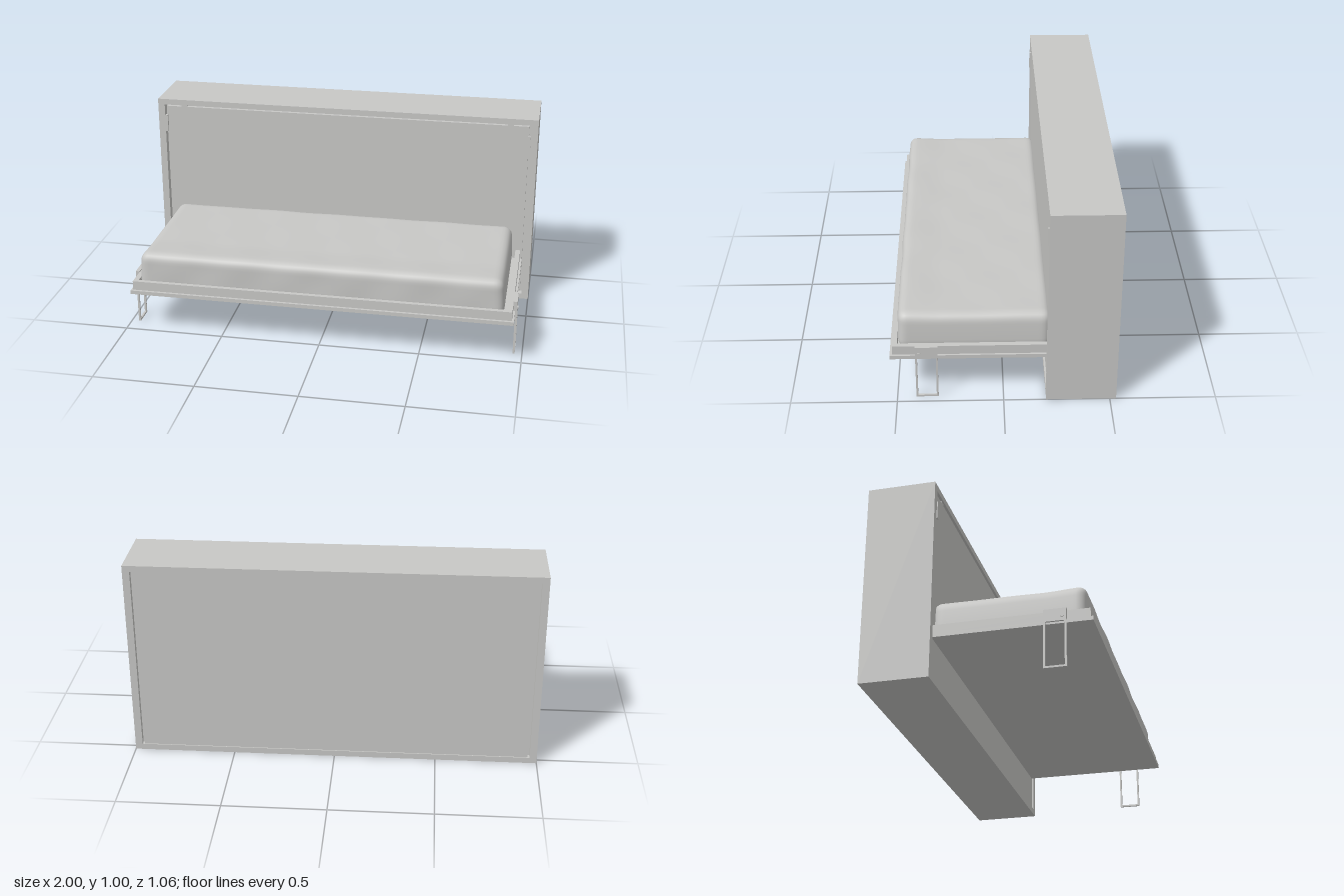
import * as THREE from 'three';
import { mergeVertices } from 'three/addons/utils/BufferGeometryUtils.js';

export function createModel() {
  const model = new THREE.Group();
  model.name = 'foldDownWallBed';
  const grey = new THREE.MeshStandardMaterial({ name: 'lightGrey', color: 0xc8c8c6 });

  const add = (name, geometry, parent = model) => {
    const mesh = new THREE.Mesh(geometry, grey);
    mesh.name = name;
    parent.add(mesh);
    return mesh;
  };
  // Box given by its lower and upper limits on each axis
  const box = (name, x0, x1, y0, y1, z0, z1, parent = model) => {
    const mesh = add(name, new THREE.BoxGeometry(x1 - x0, y1 - y0, z1 - z0), parent);
    mesh.position.set((x0 + x1) / 2, (y0 + y1) / 2, (z0 + z1) / 2);
    return mesh;
  };
  const group = (name) => {
    const g = new THREE.Group();
    g.name = name;
    model.add(g);
    return g;
  };

  // Cabinet shell
  const cabinet = group('cabinet');
  const back = -0.53, front = -0.2;
  for (const s of [-1, 1]) {
    const inner = s * 0.965, outer = s;
    box('cabinetSide', Math.min(inner, outer), Math.max(inner, outer), 0, 1.005, back, front, cabinet);
  }
  box('cabinetTop', -0.965, 0.965, 0.975, 1.005, back, front, cabinet);
  box('cabinetBase', -0.965, 0.965, 0, 0.03, back, front, cabinet);
  box('frontPanel', -0.955, 0.955, 0.04, 0.966, -0.235, -0.208, cabinet);
  box('backPanel', -0.955, 0.955, 0.03, 0.975, -0.525, -0.505, cabinet);
  // Fillers behind the shadow gaps
  box('frontGapBacking', -0.965, 0.965, 0.03, 0.975, -0.245, -0.235, cabinet);
  box('backGapBacking', -0.965, 0.965, 0.03, 0.975, -0.505, -0.495, cabinet);
  for (const s of [-1, 1]) {
    box('gapBridge', s * 0.86 - 0.015, s * 0.86 + 0.015, 0.966, 0.975, -0.235, -0.208, cabinet);
    box('sideCatch', s * 0.957 - 0.007, s * 0.957 + 0.007, 0.828, 0.918, -0.21, -0.196, cabinet);
  }

  // Bed platform: base board with a raised rim around the mattress
  const platform = group('bedPlatform');
  box('baseBoard', -0.955, 0.955, 0.213, 0.232, -0.21, 0.53, platform);
  box('frontRail', -0.945, 0.945, 0.232, 0.278, 0.495, 0.517, platform);
  box('leftRail', 0.92, 0.945, 0.232, 0.278, -0.21, 0.495, platform);
  box('rightRail', -0.945, -0.92, 0.232, 0.278, -0.21, 0.495, platform);

  // Mattress: box with rounded edges and gentle unevenness
  const half = new THREE.Vector3(0.912, 0.093, 0.357), radius = 0.04;
  let soft = new THREE.BoxGeometry(half.x * 2, half.y * 2, half.z * 2, 110, 14, 48);
  soft.deleteAttribute('uv');
  soft.deleteAttribute('normal');
  soft = mergeVertices(soft);
  const pos = soft.attributes.position;
  const p = new THREE.Vector3(), core = new THREE.Vector3();
  const limit = half.clone().subScalar(radius), lower = limit.clone().negate();
  for (let i = 0; i < pos.count; i++) {
    p.fromBufferAttribute(pos, i);
    core.copy(p).clamp(lower, limit);
    p.sub(core).setLength(radius).add(core);
    const wave = Math.sin(p.x * 17 + p.z * 5) * Math.sin(p.z * 13 - p.x * 4 + p.y * 20);
    const up = (p.y + half.y) / (2 * half.y);
    p.x *= 1 - 0.012 * up * up;
    p.y += up * (0.0015 * wave + 0.006 * THREE.MathUtils.smoothstep(p.z, 0.15, 0.32));
    if (p.z > 0) p.z += 0.002 * wave;
    pos.setXYZ(i, p.x, p.y, p.z);
  }
  soft.computeVertexNormals();
  add('mattress', soft).position.set(-0.007, 0.322, 0.135);

  // Folding legs: open rectangular loop on a hinge plate
  const loop = new THREE.Shape();
  loop.moveTo(0.306, 0).lineTo(0.411, 0).lineTo(0.411, 0.232).lineTo(0.306, 0.232).closePath();
  const hole = new THREE.Path();
  hole.moveTo(0.315, 0.009).lineTo(0.315, 0.223).lineTo(0.402, 0.223).lineTo(0.402, 0.009).closePath();
  loop.holes.push(hole);
  const loopGeometry = new THREE.ExtrudeGeometry(loop, { depth: 0.01, bevelEnabled: false });
  loopGeometry.translate(0, 0, -0.005).rotateY(-Math.PI / 2);
  for (const s of [-1, 1]) {
    const leg = group(s > 0 ? 'leftLeg' : 'rightLeg');
    add('legLoop', loopGeometry, leg).position.x = s * 0.959;
    box('hingePlate', s * 0.954 - 0.01, s * 0.954 + 0.01, 0.23, 0.283, 0.306, 0.411, leg);
    const pin = add('hingePin', new THREE.CylinderGeometry(0.008, 0.008, 0.008, 20), leg);
    pin.rotation.z = Math.PI / 2;
    pin.position.set(s * 0.965, 0.247, 0.392);
  }
  return model;
}
